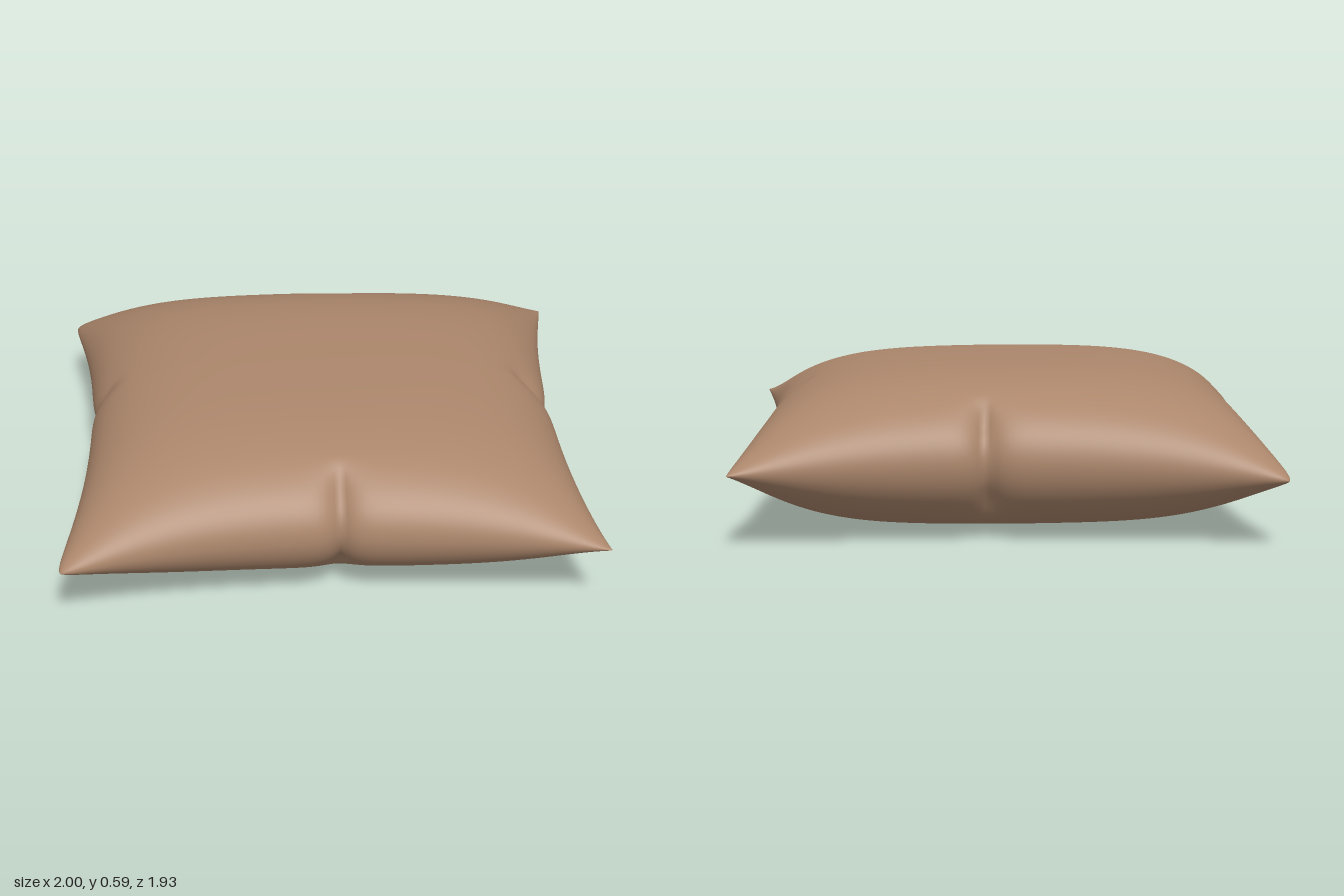
import * as THREE from 'three';
import { mergeGeometries, mergeVertices } from 'three/addons/utils/BufferGeometryUtils.js';

const N = 140; // grid divisions across the cushion
const MID = 0.295; // seam height, also half the thickness

// Corner tips: position, and how much the tip is blunted
const corners = [
  { u: -1, v: -1, x: -0.985, y: 0.25, z: -0.99, blunt: 0.03 },
  { u: 1, v: -1, x: 1.005, y: 0.275, z: -0.915, blunt: 0.01 },
  { u: 1, v: 1, x: 0.945, y: 0.315, z: 0.97, blunt: 0 },
  { u: -1, v: 1, x: -1.03, y: 0.26, z: 0.905, blunt: 0.03 },
];

// Tucked creases in the middle of each side; from: where the tuck starts
const pinches = [
  { axis: 'z', along: 'x', sign: 1, at: 0, tilt: 0, depth: 0.055, from: 0.6 },
  { axis: 'z', along: 'x', sign: -1, at: 0.09, tilt: 0.05, depth: 0.06, from: 0.65 },
  { axis: 'x', along: 'z', sign: 1, at: 0.01, tilt: -0.15, depth: 0.06, from: 0.7 },
  { axis: 'x', along: 'z', sign: -1, at: -0.13, tilt: 0.2, depth: 0.03, from: 0.74 },
];

// Plump cross-section: flat in the middle, round at the rim
const puff = (t) => Math.sqrt(Math.max(0, 1 - Math.abs(t) ** 4.5));

// Snap to the grid, then crowd the rows towards the rim
const spread = (t) => Math.sin((Math.round(t * N / 2) / (N / 2)) * Math.PI / 2);

// Sides bow inwards between the corners
const bow = (t) => 1 - Math.abs(t) ** 2.3;

// Half thickness: a gentle off-centre crown, thinning into the corner tips
function thickness(u, v, side) {
  const [cu, cv] = side > 0 ? [-0.12, -0.18] : [0.15, -0.25];
  const crown = 1 - 0.07 * (u - cu) ** 2 - 0.09 * (v - cv) ** 2;
  const ear = 1 - 0.5 * Math.exp(-(2 - Math.abs(u) - Math.abs(v)) / 0.32);
  return MID * crown * ear * puff(u) * puff(v);
}

function cushionPoint(s, t, side, p) {
  const u = spread(s), v = spread(t);
  p.set(0, 0, 0);
  let seam = 0;
  for (const c of corners) {
    const w = (1 + u * c.u) * (1 + v * c.v) / 4;
    const tip = c.blunt * Math.exp(-(2 - u * c.u - v * c.v) / 0.06);
    p.x += w * c.x - c.u * tip;
    p.z += w * c.z - c.v * tip;
    seam += w * (c.y - MID);
  }
  p.x -= u * (u > 0 ? 0.09 : 0.115) * bow(v);
  p.z -= v * (v > 0 ? 0.12 : 0.1) * bow(u);
  p.y = MID + seam * u * u * v * v + side * thickness(u, v, side);

  // Creases pull the rim inwards and flatten it
  for (const k of pinches) {
    const reach = THREE.MathUtils.smoothstep(k.sign * p[k.axis], k.from, k.from + 0.17);
    const off = p[k.along] - k.at - k.tilt * (p.y - MID);
    const pull = reach * Math.exp(-Math.abs(off) / 0.045);
    p[k.axis] -= k.sign * k.depth * pull;
    p.y -= (p.y - MID) * 0.14 * pull;
  }
}

function shell(side) {
  const g = new THREE.PlaneGeometry(2, 2, N, N).rotateX(-side * Math.PI / 2);
  const pos = g.attributes.position;
  const p = new THREE.Vector3();
  for (let i = 0; i < pos.count; i++) {
    cushionPoint(pos.getX(i), pos.getZ(i), side, p);
    pos.setXYZ(i, p.x, p.y, p.z);
  }
  g.deleteAttribute('uv');
  g.deleteAttribute('normal');
  return g;
}

export function createModel() {
  const group = new THREE.Group();
  group.name = 'pillow';
  const fabric = new THREE.MeshStandardMaterial({ color: 0xab866b });
  fabric.name = 'tan fabric';

  // Upper and lower covers, welded along the rim
  const geometry = mergeVertices(mergeGeometries([shell(1), shell(-1)]), 1e-5);
  geometry.computeVertexNormals();
  const cushion = new THREE.Mesh(geometry, fabric);
  cushion.name = 'cushion';
  group.add(cushion);
  return group;
}
